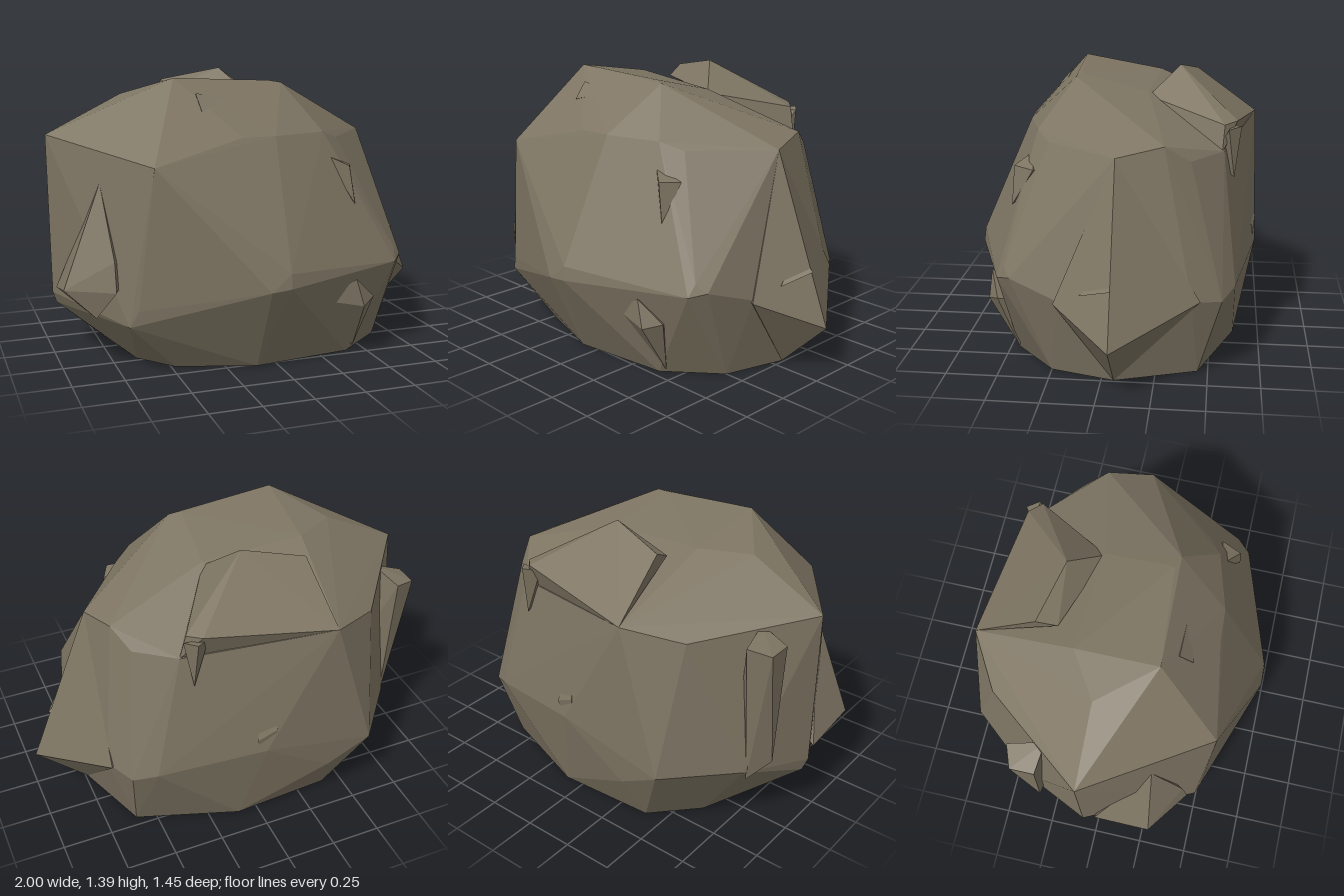
import * as THREE from 'three';
import { ConvexGeometry } from 'three/addons/geometries/ConvexGeometry.js';

export function createModel() {
  const rock = new THREE.Group();
  rock.name = 'boulder';
  const stone = new THREE.MeshStandardMaterial({ color: 0x7d7462 });
  stone.name = 'stone';

  // A faceted lump of stone spanning a few corner points
  const lump = (name, corners) => {
    const pts = corners.map((c) => new THREE.Vector3(...c));
    const mesh = new THREE.Mesh(new ConvexGeometry(pts), stone);
    mesh.name = name;
    rock.add(mesh);
  };

  lump('core', [
    // flat base
    [-0.68, 0, 0], [-0.63, 0, 0.22], [-0.48, 0, 0.4], [-0.1, 0, 0.52], [0.4, 0, 0.46], [0.65, 0, 0.25],
    [0.74, 0, -0.06], [0.6, 0, -0.45], [0.1, 0, -0.62], [-0.4, 0, -0.59], [-0.6, 0, -0.38],
    // widest belt
    [-0.97, 0.24, -0.08], [-0.99, 0.3, -0.06], [-0.72, 0.25, 0.49], [-0.68, 0.33, 0.51],
    [-0.1, 0.42, 0.72], [0, 0.43, 0.72], [0, 0.5, 0.71], [0.64, 0.46, 0.51], [0.65, 0.52, 0.47],
    [0.7, 0.48, 0.44], [0.77, 0.4, 0.2], [0.72, 0.4, -0.42], [0.64, 0.38, -0.56], [0.53, 0.42, -0.62],
    [0, 0.48, -0.72], [-0.35, 0.25, -0.71], [-0.57, 0.38, -0.73], [-0.84, 0.35, -0.4],
    // shoulders
    [-1, 1.1, -0.06], [-0.6, 1, 0.53], [-0.15, 1.11, 0.45], [0.02, 1.11, 0.44],
    [0.3, 1.11, 0.36], [0.4, 1.07, 0.29], [0.68, 1.065, -0.06], [0.62, 1.11, -0.28],
    [0.56, 1.03, -0.4], [0.38, 1.04, -0.55], [-0.35, 1.1, -0.71], [-0.61, 1.04, -0.56],
    // crown
    [-0.42, 1.38, 0.21], [-0.62, 1.29, -0.06], [0.08, 1.355, 0.17], [0.14, 1.345, 0.19],
    [0.27, 1.25, 0], [0.11, 1.27, -0.17], [-0.4, 1.31, -0.2],
  ]);

  lump('rightPoint', [
    [1, 0.25, -0.06], [0.68, 1.065, -0.06], [0.78, 0.39, 0.22], [0.71, 0.4, -0.46],
    [0.74, 0, -0.06], [0.3, 0.4, -0.06],
  ]);

  lump('topRidge', [
    [-0.02, 1.39, -0.32], [-0.32, 1.33, -0.4], [-0.35, 1.1, -0.71], [0.29, 1.17, -0.61],
    [0.35, 1.16, -0.55], [0.11, 1.25, -0.17], [0.38, 1.03, -0.54], [-0.3, 1.28, -0.3],
  ]);

  lump('backTopChip', [
    [0.32, 1.15, -0.63], [0.25, 1.14, -0.58], [0.37, 1.14, -0.57], [0.33, 0.9, -0.6], [0.3, 1, -0.5],
  ]);

  lump('frontLeftSpur', [
    [-0.99, 0.4, 0.29], [-0.8, 0.9, 0.26], [-0.77, 0.55, 0.42], [-0.77, 0.41, 0.45], [-0.85, 0.27, 0.36],
    [-0.98, 0.34, 0], [-0.6, 0.5, 0.1],
  ]);

  // Upright rib behind the left shoulder
  lump('leftBackRib', [
    [-0.95, 1.02, -0.39], [-0.95, 1.02, -0.27], [-0.84, 1.04, -0.43], [-0.8, 1.07, -0.25],
    [-0.93, 0.4, -0.3], [-0.84, 0.3, -0.38], [-0.7, 0.5, -0.25],
  ]);

  lump('backRib', [
    [0, 0.85, -0.6], [-0.05, 0.6, -0.72], [0.05, 0.55, -0.71], [-0.05, 0.3, -0.68], [-0.1, 0.6, -0.6],
  ]);

  // Small chips standing proud of the faces
  lump('frontLowChip', [
    [0.39, 0.41, 0.59], [0.43, 0.27, 0.6], [0.51, 0.3, 0.54], [0.24, 0.31, 0.58],
    [0.44, 0.02, 0.45], [0.4, 0.25, 0.4],
  ]);
  lump('frontHighChip', [
    [0.4, 0.95, 0.46], [0.3, 1, 0.38], [0.45, 0.94, 0.36], [0.43, 0.76, 0.47], [0.35, 0.9, 0.3],
  ]);
  lump('crownChip', [
    [-0.33, 1.31, 0.28], [-0.12, 1.28, 0.28], [-0.32, 1.23, 0.35], [-0.3, 1.2, 0.2],
  ]);
  lump('rightChip', [
    [0.91, 0.51, -0.06], [0.84, 0.46, 0.09], [0.82, 0.5, -0.11], [0.8, 0.6, -0.06], [0.7, 0.48, -0.03],
  ]);

  return rock;
}
